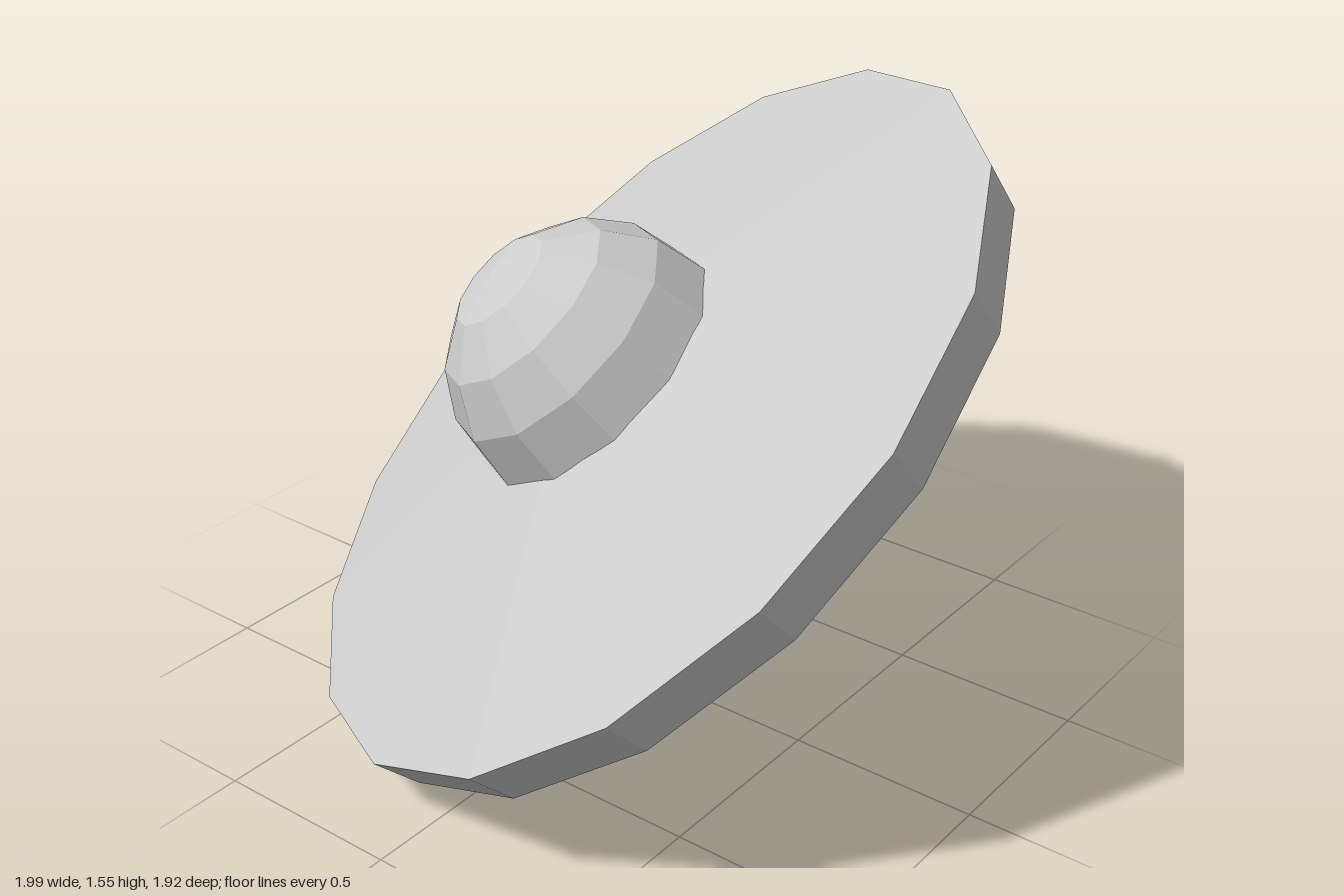
import * as THREE from 'three';

const material = new THREE.MeshStandardMaterial({
  color: 0xcccccc, flatShading: true, side: THREE.DoubleSide,
});

// Revolves a [radius, height] profile into a named faceted mesh
function turned(name, profile, sides, start = 0, sweep = Math.PI * 2) {
  const points = profile.map(([r, h]) => new THREE.Vector2(r, h));
  const mesh = new THREE.Mesh(new THREE.LatheGeometry(points, sides, start, sweep), material);
  mesh.name = name;
  return mesh;
}

export function createModel() {
  const model = new THREE.Group();
  model.name = 'saucer';

  // Tilted craft: local y is the axis of the saucer
  const craft = new THREE.Group();
  craft.name = 'tiltedCraft';
  const up = new THREE.Vector3(-0.435, 0.738, 0.515).normalize();
  const side = new THREE.Vector3(-0.895, -0.292, -0.338);
  side.addScaledVector(up, -side.dot(up)).normalize();
  const back = new THREE.Vector3().crossVectors(side, up);
  craft.quaternion.setFromRotationMatrix(new THREE.Matrix4().makeBasis(side, up, back));
  craft.position.set(-0.02, 0.832, 0.02);
  model.add(craft);

  // Wide conical hull with a bevelled rim
  craft.add(turned('hull', [[0.3, 0.007], [1.065, -0.13], [1.093, 0], [0.33, 0.15]], 16));

  // Hemispherical canopy
  const canopy = [];
  for (let i = 0; i <= 4; i++) {
    const a = (i / 4) * Math.PI / 2;
    canopy.push([0.368 * Math.cos(a), 0.143 + 0.368 * Math.sin(a)]);
  }
  craft.add(turned('canopy', canopy, 12));

  // Tapered collar under the hull
  craft.add(turned('collar', [[0.2, -0.13], [0.285, -0.125], [0.34, 0.01]], 12));

  // Thruster core behind the panels, with a recessed floor
  craft.add(turned('thrusterCore',
    [[0, -0.21], [0.157, -0.21], [0.173, -0.272], [0.272, -0.165], [0.272, -0.125]], 16));

  // Ring of thruster panels separated by narrow slits
  const ring = new THREE.Group();
  ring.name = 'thrusterPanels';
  const panel = [[0.15, -0.21], [0.17, -0.288], [0.285, -0.172], [0.294, -0.135], [0.24, -0.13]];
  const step = Math.PI / 8, gap = 0.045;
  for (let i = 0; i < 16; i++) {
    ring.add(turned('thrusterPanel', panel, 1, i * step + gap / 2, step - gap));
  }
  craft.add(ring);

  return model;
}
